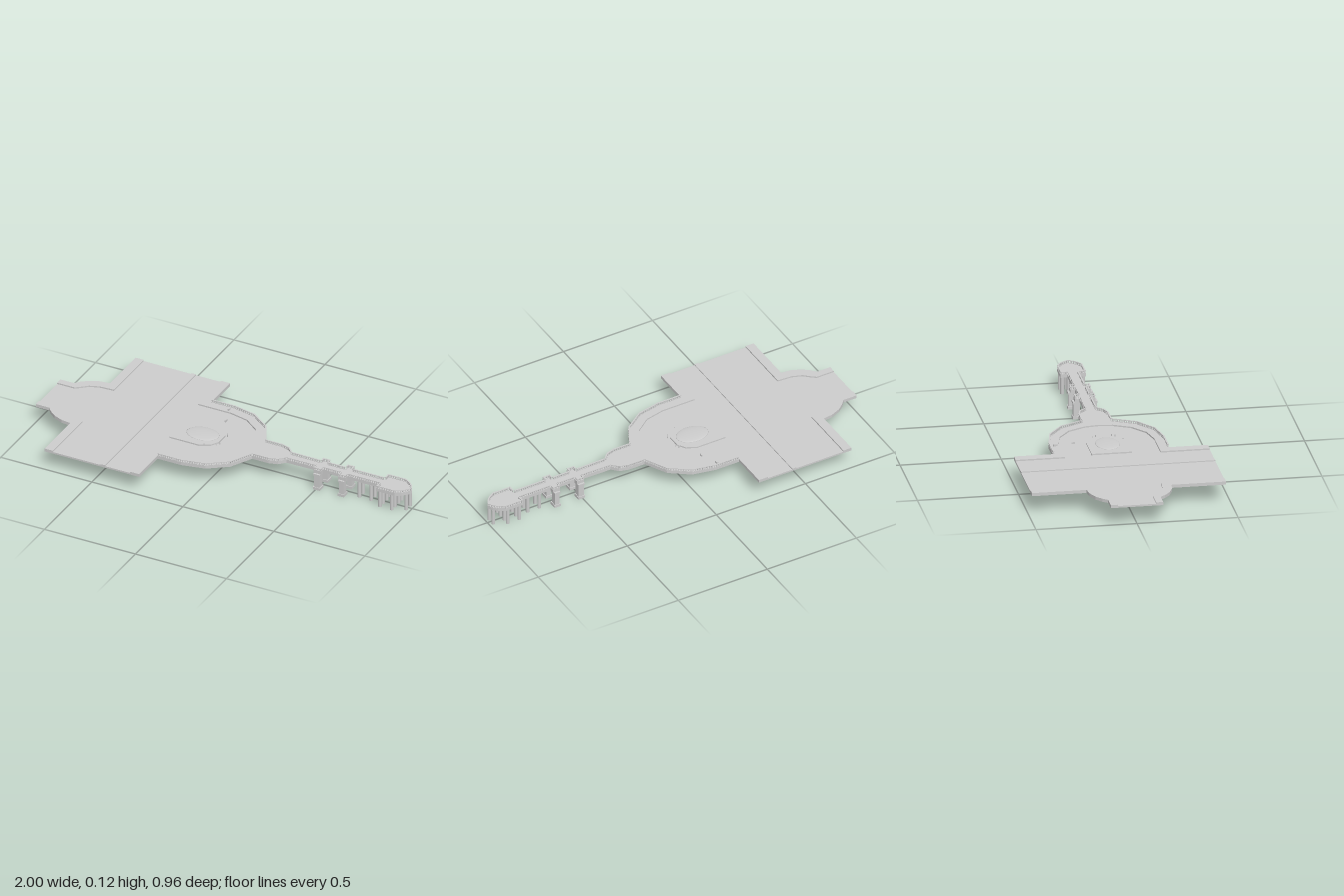
import * as THREE from 'three';
import { mergeGeometries } from 'three/addons/utils/BufferGeometryUtils.js';

const BOTTOM = 0.088, ROAD = 0.097, WALK = 0.104, RAIL_TOP = 0.118;

// Mirrors a run of [x, z] points across z = 0 to close an outline
const mirrored = (pts) => [...pts, ...pts.slice().reverse().map(([x, z]) => [x, -z])];

// Flat slab with an [x, z] outline between two heights
function slab(pts, y0, y1) {
  const shape = new THREE.Shape(pts.map(([x, z]) => new THREE.Vector2(x, -z)));
  const geo = new THREE.ExtrudeGeometry(shape, { depth: y1 - y0, bevelEnabled: false });
  return geo.rotateX(-Math.PI / 2).translate(0, y0, 0);
}

function box(w, h, d, x, y, z) {
  return new THREE.BoxGeometry(w, h, d).translate(x, y, z);
}

export function createModel() {
  const group = new THREE.Group();
  const stone = new THREE.MeshStandardMaterial({ color: 0xcccccc });
  stone.name = 'grey stone';
  const add = (name, geo) => {
    const mesh = new THREE.Mesh(geo, stone);
    mesh.name = name;
    group.add(mesh);
    return mesh;
  };

  // Half outlines, from inland to the sea
  const lobe = [[-1, 0.13], [-0.925, 0.13], [-0.905, 0.155], [-0.87, 0.183], [-0.82, 0.204], [-0.77, 0.21]];
  const terrace = [[-0.25, 0.287], [-0.12, 0.287], [0, 0.262], [0.1, 0.19], [0.16, 0.075],
    [0.25, 0.075], [0.295, 0.062], [0.325, 0.03]];
  const pier = [];
  for (const x of [0.505, 0.64]) {
    pier.push([x - 0.02, 0.028], [x - 0.02, 0.051], [x + 0.02, 0.051], [x + 0.02, 0.028]);
  }
  pier.push([0.835, 0.028], [0.835, 0.063], [0.935, 0.063], [0.965, 0.045], [0.985, 0.025], [1, 0]);
  const edge = [...terrace, ...pier];

  // Base slab carrying the road, the terrace and the pier
  add('baseSlab', slab(mirrored([...lobe, [-0.77, 0.48], [-0.25, 0.48], ...edge.slice(0, -1), [0.999, 0.001]]),
    BOTTOM, ROAD));

  // Raised walk around the terrace, continuing as the pier deck
  const outer = [[-0.3, 0.48], [-0.25, 0.48], ...edge.slice(0, -1), [0.999, 0.001]];
  const inner = [[0.115, 0.001], [0.105, 0.07], [0.06, 0.155], [-0.02, 0.215], [-0.12, 0.237], [-0.3, 0.237]];
  add('terraceWalk', slab([...mirrored(outer), ...inner.slice().reverse().map(([x, z]) => [x, -z]), ...inner],
    ROAD, WALK));

  // Inland pavements on both sides of the side street
  const kerb = [[-0.725, 0.165], [-0.80, 0.16], [-0.85, 0.142], [-0.885, 0.11], [-0.905, 0.095], [-1, 0.095]];
  const pavement = [...lobe, [-0.77, 0.48], [-0.725, 0.48], ...kerb];
  for (const s of [1, -1]) {
    add(s > 0 ? 'leftPavement' : 'rightPavement', slab(pavement.map(([x, z]) => [x, s * z]), ROAD, WALK));
  }

  // Narrow strip along the middle of the road
  add('roadMedian', box(0.024, 0.005, 0.96, -0.45, ROAD + 0.0025, 0));

  // Central island with a low mound
  add('island', slab(mirrored([[-0.28, 0.1], [-0.12, 0.1], [-0.07, 0.075], [-0.045, 0.035]]), ROAD, WALK));
  const mound = new THREE.SphereGeometry(1, 32, 8, 0, Math.PI * 2, 0, Math.PI / 2);
  add('mound', mound.scale(0.085, 0.006, 0.06).translate(-0.15, WALK, 0));

  // Small posts in front of the island
  const posts = [];
  for (const [x, z] of [[-0.045, -0.055], [-0.035, -0.04], [-0.035, 0.04], [-0.045, 0.055], [-0.1, 0.085]]) {
    posts.push(new THREE.CylinderGeometry(0.002, 0.002, 0.012, 6).translate(x, ROAD + 0.006, z));
  }
  add('posts', mergeGeometries(posts));
  add('benches', mergeGeometries([
    box(0.008, 0.01, 0.02, -0.14, WALK + 0.005, -0.257),
    box(0.006, 0.01, 0.016, -0.108, ROAD + 0.005, -0.163),
  ]));

  // Balustrade along the terrace and pier edges
  const parts = [];
  for (const s of [1, -1]) {
    for (let i = 0; i < edge.length - 1; i++) {
      const [x0, z0] = edge[i], [x1, z1] = edge[i + 1];
      const dx = x1 - x0, dz = z1 - z0, len = Math.hypot(dx, dz);
      const nx = dz / len * 0.004, nz = -dx / len * 0.004;
      const turn = -Math.atan2(s * dz, dx);
      const place = (geo, t, y) => parts.push(geo.rotateY(turn)
        .translate(x0 + dx * t + nx, y, s * (z0 + dz * t + nz)));
      place(new THREE.BoxGeometry(len, 0.003, 0.007), 0.5, RAIL_TOP - 0.0015);
      place(new THREE.BoxGeometry(len, 0.002, 0.007), 0.5, WALK + 0.001);
      const n = Math.max(1, Math.round(len / 0.012));
      for (let k = 0; k < n; k++) {
        place(new THREE.BoxGeometry(0.005, RAIL_TOP - WALK - 0.002, 0.005), (k + 0.5) / n, (RAIL_TOP + WALK) / 2);
      }
    }
  }
  add('balustrade', mergeGeometries(parts));

  // Broad piers below the two lookouts
  for (const [x, w] of [[0.505, 0.03], [0.64, 0.026]]) {
    for (const s of [1, -1]) {
      const z = s * 0.042;
      add('lookoutPier', mergeGeometries([
        box(w, BOTTOM, 0.032, x, BOTTOM / 2, z),
        box(w + 0.008, 0.014, 0.04, x, 0.007, z),
        box(w + 0.006, 0.01, 0.038, x, BOTTOM - 0.005, z),
      ]));
    }
  }

  // Slim columns under the pier and its head
  const columns = [[0.72, [0.02]], [0.785, [0.02]], [0.85, [0.02, 0.052]], [0.915, [0.02, 0.052]], [0.978, [0.02]]];
  for (const [x, zs] of columns) {
    for (const z of zs.flatMap((v) => [v, -v])) {
      add('column', new THREE.CylinderGeometry(0.0095, 0.0095, BOTTOM, 10).translate(x, BOTTOM / 2, z));
    }
  }
  return group;
}
